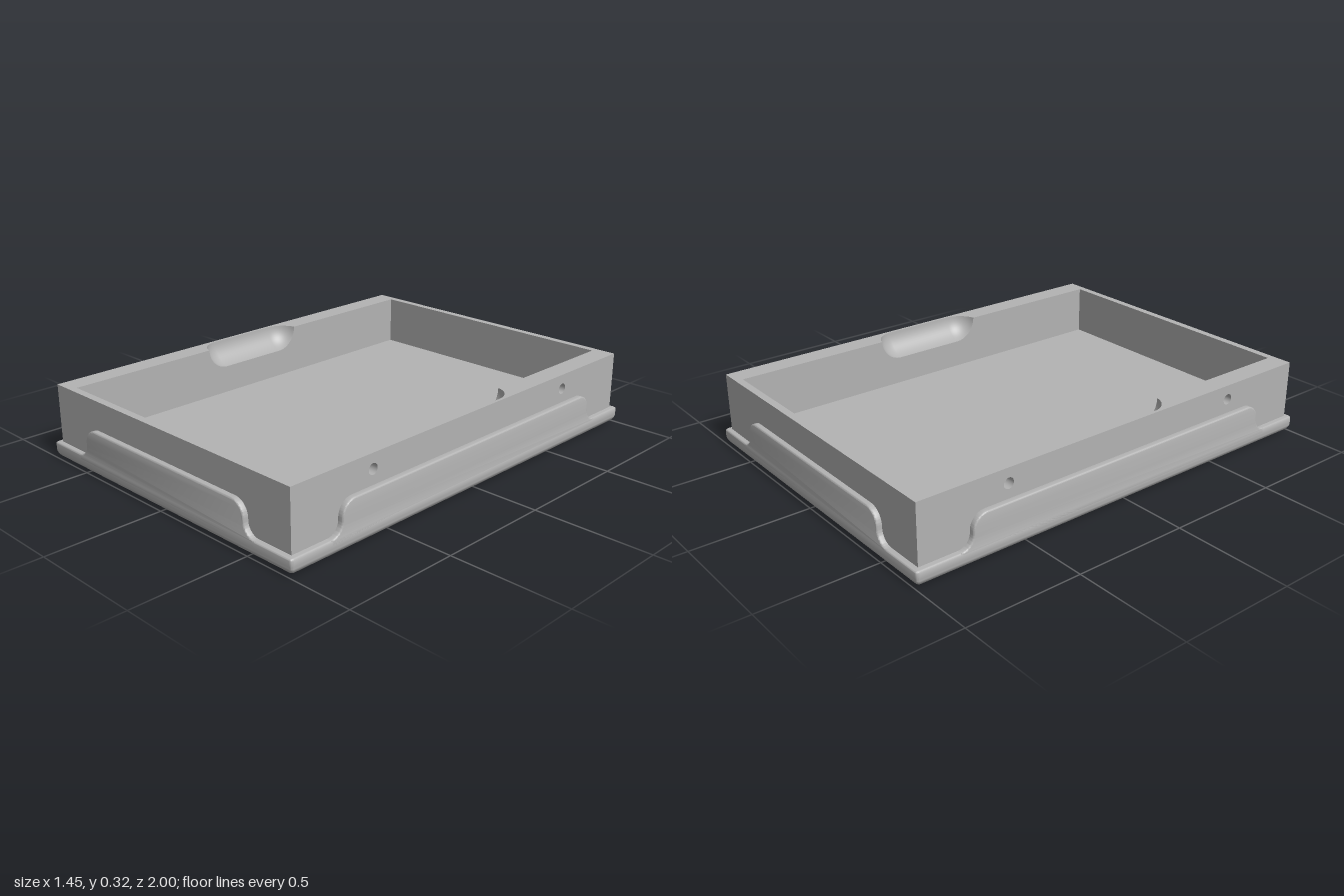
import * as THREE from 'three';
import { toCreasedNormals } from 'three/addons/utils/BufferGeometryUtils.js';

const grey = new THREE.MeshStandardMaterial({ color: 0xb3b3b3, side: THREE.DoubleSide });
grey.name = 'grey';

const OUT = { x: 0.727, z: 1.0 };      // base lip and tabs
const WALL = { x: 0.703, z: 0.977 };   // tray walls
const IN = { x: 0.61, z: 0.945 };      // cavity
const TOP = 0.325, FLOOR = 0.105, LIP = 0.072, TAB = 0.2;
const SCOOP = { r: 0.1, x: 0.59, z: 0.16 };
const HOLE = { r: 0.023, z: 0.58, y: 0.262, depth: 0.04 };

function add(parent, name, geometry, x = 0, y = 0, z = 0, ry = 0, rx = 0) {
  const mesh = new THREE.Mesh(geometry, grey);
  mesh.name = name;
  mesh.position.set(x, y, z);
  mesh.rotation.set(rx, ry, 0);
  parent.add(mesh);
  return mesh;
}

const polygon = (pts) => new THREE.Shape(pts.map(([x, y]) => new THREE.Vector2(x, y)));
const rect = (w, y0, y1) => polygon([[-w, y0], [w, y0], [w, y1], [-w, y1]]);

function meshFrom(rows, closed) {
  const n = rows[0].length, index = [];
  for (let i = 0; i < rows.length - 1; i++) {
    for (let j = 0; j < (closed ? n : n - 1); j++) {
      const k = (j + 1) % n, a = i * n + j, b = i * n + k, c = a + n, d = b + n;
      index.push(a, c, b, b, c, d);
    }
  }
  const g = new THREE.BufferGeometry();
  g.setAttribute('position', new THREE.Float32BufferAttribute(rows.flat(2), 3));
  g.setIndex(index);
  g.computeVertexNormals();
  return g;
}

// Base slab: rounded-rectangle rings with a filleted bottom edge and a softened lip
function baseGeometry() {
  const profile = [], steps = 8, R = 0.04, r = 0.008, corner = 0.012;
  for (let i = 0; i <= steps; i++) {
    const t = (i / steps) * Math.PI / 2;
    profile.push([R * (1 - Math.sin(t)), R * (1 - Math.cos(t))]);
  }
  for (let i = 0; i <= 4; i++) {
    const t = (i / 4) * Math.PI / 2;
    profile.push([r * (1 - Math.cos(t)), LIP - r + r * Math.sin(t)]);
  }
  const ring = ([inset, y]) => {
    const pts = [];
    [[1, 1], [-1, 1], [-1, -1], [1, -1]].forEach(([sx, sz], q) => {
      for (let i = 0; i <= 4; i++) {
        const a = (q + i / 4) * Math.PI / 2;
        pts.push([
          sx * (OUT.x - inset - corner) + corner * Math.cos(a), y,
          sz * (OUT.z - inset - corner) + corner * Math.sin(a)]);
      }
    });
    return pts;
  };
  const rows = profile.map(ring);
  const flat = (y) => rows[0].map(() => [0, y, 0]);
  return toCreasedNormals(meshFrom([flat(0), ...rows, flat(LIP)], true), 0.6);
}

// Plan outline of the finger scoop at depth d below the rim, as [x, z] pairs
function scoopOutline(d) {
  const rr = Math.sqrt(Math.max(SCOOP.r ** 2 - d * d, 0)), n = 12;
  const start = Math.acos(Math.min(1, (IN.x - SCOOP.x) / rr));
  const half = [];
  for (let i = 0; i <= n; i++) {
    const a = start * (1 - i / n);
    half.push([SCOOP.x + rr * Math.cos(a), -SCOOP.z - rr * Math.sin(a)]);
  }
  return [...half, ...half.slice().reverse().map(([x, z]) => [x, -z])];
}
const scoopDepth = Math.sqrt(SCOOP.r ** 2 - (IN.x - SCOOP.x) ** 2);
const depths = Array.from({ length: 15 }, (_, i) => scoopDepth * Math.sin((i / 14) * Math.PI / 2));

// Raised tab with S-curved shoulders, bevelled around its face
function tabGeometry(v) {
  const lo = 0.055, hi = 0.065, s = new THREE.Shape();
  s.moveTo(-v - lo, 0.045);
  s.lineTo(v + lo, 0.045);
  s.lineTo(v + lo, LIP);
  s.absarc(v + lo, LIP + lo, lo, -Math.PI / 2, -Math.PI, true);
  s.lineTo(v, TAB - hi);
  s.absarc(v - hi, TAB - hi, hi, 0, Math.PI / 2, false);
  s.lineTo(-v + hi, TAB);
  s.absarc(-v + hi, TAB - hi, hi, Math.PI / 2, Math.PI, false);
  s.lineTo(-v, LIP + lo);
  s.absarc(-v - lo, LIP + lo, lo, 0, -Math.PI / 2, true);
  const b = 0.006;
  const g = new THREE.ExtrudeGeometry(s, {
    depth: 0.026, curveSegments: 12,
    bevelThickness: b, bevelSize: b, bevelOffset: -b, bevelSegments: 3 });
  g.translate(0, 0, -0.026 - b);
  return toCreasedNormals(g, 0.6);
}

// Long side, facing +x: wall faces, peg holes, finger scoop and tab
function longSide() {
  const side = new THREE.Group();
  const outer = rect(WALL.z, 0.05, TOP);
  for (const s of [-1, 1]) {
    outer.holes.push(new THREE.Path().absarc(s * HOLE.z, HOLE.y, HOLE.r, 0, Math.PI * 2, true));
    const bore = new THREE.CylinderGeometry(HOLE.r, HOLE.r, HOLE.depth, 24, 1, true);
    bore.rotateZ(Math.PI / 2);
    add(side, 'pegHoleBore', bore, WALL.x - HOLE.depth / 2, HOLE.y, s * HOLE.z);
    add(side, 'pegHoleEnd', new THREE.CircleGeometry(HOLE.r, 24),
      WALL.x - HOLE.depth, HOLE.y, s * HOLE.z, Math.PI / 2);
  }
  add(side, 'outerLongWall', new THREE.ShapeGeometry(outer, 12), WALL.x, 0, 0, Math.PI / 2);

  const notch = depths.map((d) => [-scoopOutline(d)[0][1], TOP - d]);
  const inner = polygon([
    [-IN.z, FLOOR], [IN.z, FLOOR], [IN.z, TOP], ...notch,
    ...notch.slice().reverse().map(([z, y]) => [-z, y]), [-IN.z, TOP]]);
  add(side, 'innerLongWall', new THREE.ShapeGeometry(inner), IN.x, 0, 0, -Math.PI / 2);

  const rows = depths.map((d) => scoopOutline(d).map(([x, z]) => [x, TOP - d, z]));
  add(side, 'fingerScoop', meshFrom(rows, false));
  add(side, 'longTab', tabGeometry(0.755), OUT.x, 0, 0, Math.PI / 2);
  return side;
}

// Short side, facing +z
function shortSide() {
  const side = new THREE.Group();
  add(side, 'outerShortWall', new THREE.ShapeGeometry(rect(WALL.x, 0.05, TOP)), 0, 0, WALL.z);
  add(side, 'innerShortWall', new THREE.ShapeGeometry(rect(IN.x, FLOOR, TOP)), 0, 0, IN.z, Math.PI);
  add(side, 'shortTab', tabGeometry(0.485), 0, 0, OUT.z);
  return side;
}

export function createModel() {
  const model = new THREE.Group();
  model.name = 'tray';
  add(model, 'base', baseGeometry());

  // Floor of the cavity
  add(model, 'floor', new THREE.PlaneGeometry(IN.x * 2, IN.z * 2), 0, FLOOR, 0, 0, -Math.PI / 2);

  // Rim around the cavity and its two scoops
  const rim = rect(WALL.x, -WALL.z, WALL.z);
  const edge = scoopOutline(0);
  const opening = [
    [IN.x, -IN.z], ...edge, [IN.x, IN.z],
    [-IN.x, IN.z], ...edge.map(([x, z]) => [-x, -z]), [-IN.x, -IN.z]];
  rim.holes.push(new THREE.Path(opening.map(([x, z]) => new THREE.Vector2(x, z))));
  add(model, 'rim', new THREE.ShapeGeometry(rim), 0, TOP, 0, 0, -Math.PI / 2);

  for (const [names, build] of [[['leftSide', 'rightSide'], longSide], [['frontSide', 'backSide'], shortSide]]) {
    names.forEach((name, i) => {
      const side = build();
      side.name = name;
      side.rotation.y = i * Math.PI;
      model.add(side);
    });
  }
  return model;
}
